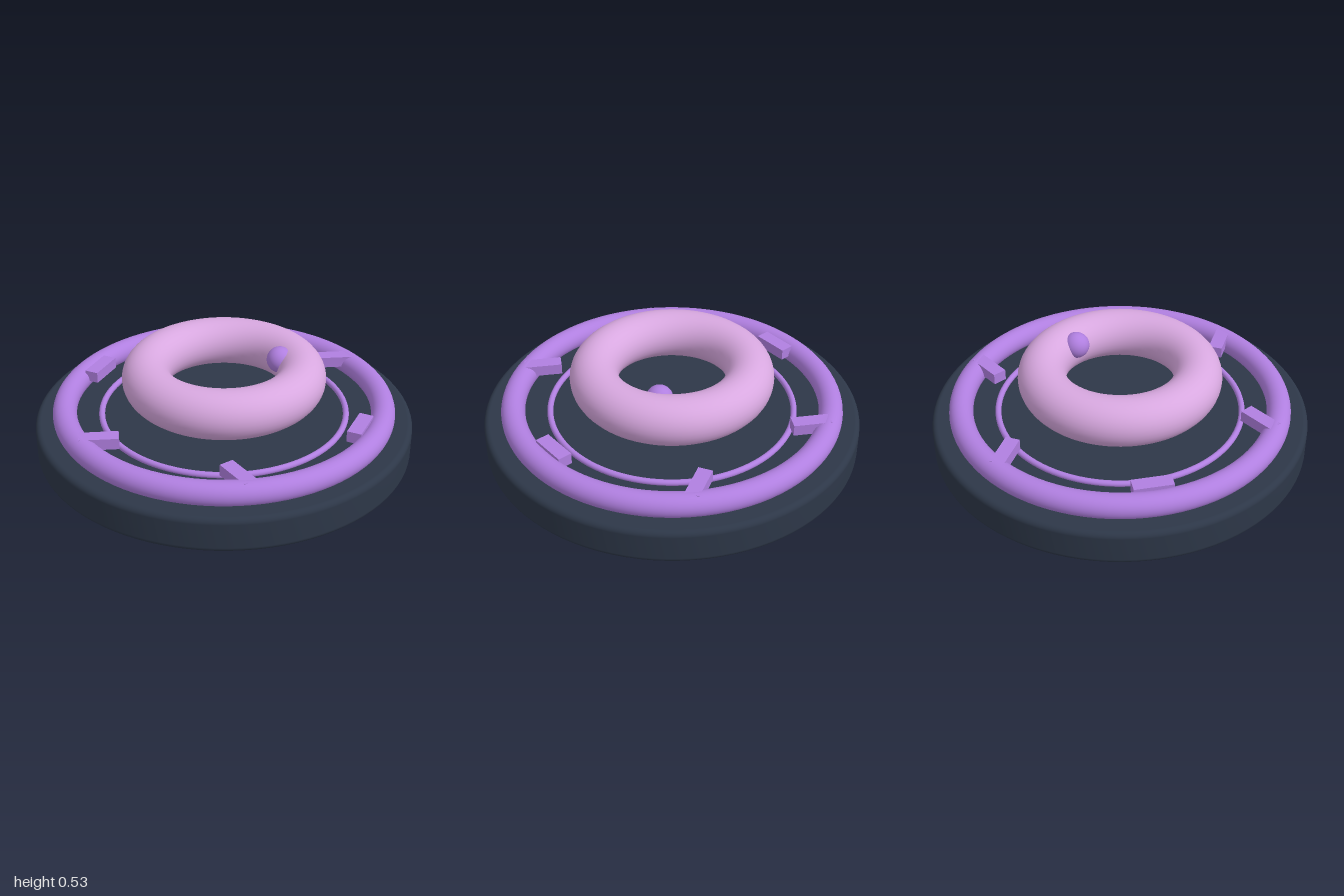
import * as THREE from 'three';

const mat = (name, color) => Object.assign(new THREE.MeshStandardMaterial({ color }), { name });

export function createModel() {
  const group = new THREE.Group();
  const slate = mat('slate', 0x2d3748);
  const violet = mat('violet', 0xb07fe0);
  const orchid = mat('orchid', 0xd8a8e0);

  const add = (name, geometry, material, x, y, z) => {
    const mesh = new THREE.Mesh(geometry, material);
    mesh.name = name;
    mesh.position.set(x, y, z);
    group.add(mesh);
    return mesh;
  };
  // Torus lying flat
  const ring = (name, radius, tube, y, material) =>
    add(name, new THREE.TorusGeometry(radius, tube, 32, 96).rotateX(Math.PI / 2), material, 0, y, 0);

  // Round base: a disc with softly rounded rims
  const height = 0.19, bevel = 0.03;
  const disc = new THREE.Shape().absarc(0, 0, 1 - bevel, 0, Math.PI * 2, false);
  const base = new THREE.ExtrudeGeometry(disc, {
    depth: height - 2 * bevel, bevelSize: bevel, bevelThickness: bevel, bevelSegments: 1, curveSegments: 8,
  });
  base.dispose();
  const profile = [new THREE.Vector2(0, 0)];
  for (const [cy, start] of [[bevel, -Math.PI / 2], [height - bevel, 0]]) {
    for (let i = 0; i <= 6; i++) {
      const a = start + (i / 6) * Math.PI / 2;
      profile.push(new THREE.Vector2(1 - bevel + bevel * Math.cos(a), cy + bevel * Math.sin(a)));
    }
  }
  profile.push(new THREE.Vector2(0, height));
  add('base', new THREE.LatheGeometry(profile, 96), slate, 0, 0, 0);

  // Rings
  ring('outerRing', 0.843, 0.063, 0.228, violet);
  ring('thinRing', 0.65, 0.016, 0.198, violet);
  ring('centreRing', 0.408, 0.128, 0.397, orchid);

  // Six small blocks around the outer ring
  const block = new THREE.BoxGeometry(0.075, 0.06, 0.2);
  for (let i = 0; i < 6; i++) {
    const a = (i * Math.PI) / 3;
    add('block', block, violet, 0.76 * Math.cos(a), 0.26, 0.76 * Math.sin(a)).rotation.y = a;
  }

  // Bead set into the inner side of the centre ring
  add('bead', new THREE.SphereGeometry(0.07, 32, 20), violet, 0.238, 0.45, -0.19);

  return group;
}
